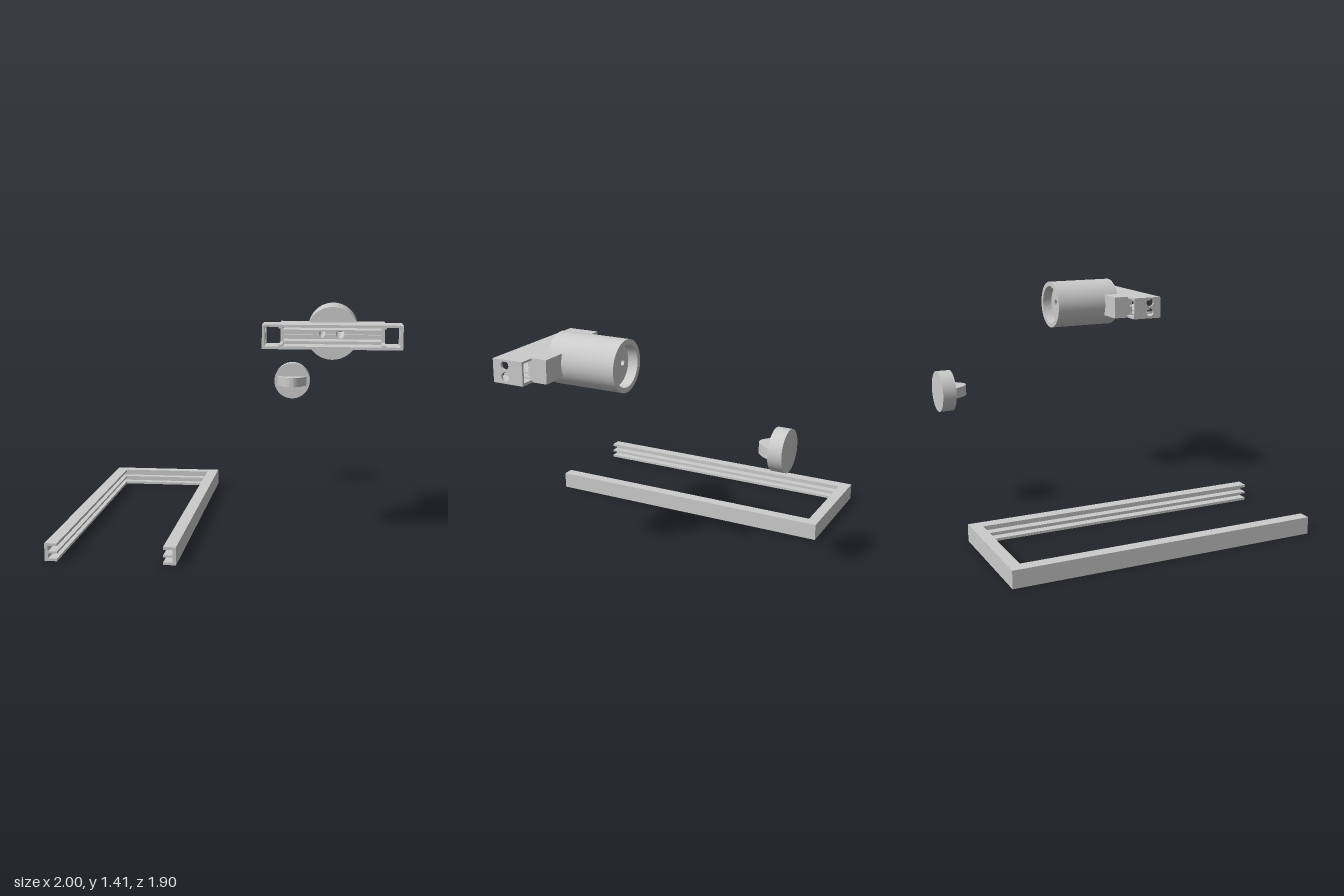
import * as THREE from 'three';
import { toCreasedNormals } from 'three/addons/utils/BufferGeometryUtils.js';

const material = new THREE.MeshStandardMaterial({ color: 0xcccccc });

function add(group, name, geometry) {
  const mesh = new THREE.Mesh(geometry, material);
  mesh.name = name;
  group.add(mesh);
  return mesh;
}

// Box given by its limits on each axis
function box(group, name, [x0, x1], [y0, y1], [z0, z1]) {
  const geometry = new THREE.BoxGeometry(x1 - x0, y1 - y0, z1 - z0);
  geometry.translate((x0 + x1) / 2, (y0 + y1) / 2, (z0 + z1) / 2);
  return add(group, name, geometry);
}

const polygon = (points) => new THREE.Shape(points.map(([x, y]) => new THREE.Vector2(x, y)));
const rectangle = (x0, x1, y0, y1) => polygon([[x0, y0], [x1, y0], [x1, y1], [x0, y1]]);
const circle = (x, y, r) => new THREE.Shape().absarc(x, y, r, 0, Math.PI * 2, false);

function extrude(shape, depth, holes = []) {
  shape.holes.push(...holes);
  const geometry = new THREE.ExtrudeGeometry(shape, { depth, bevelEnabled: false, curveSegments: 32 });
  return toCreasedNormals(geometry, 0.6);
}

// U-shaped rail: stacked layers give three fins with two grooves between
function makeRail() {
  const rail = new THREE.Group();
  rail.name = 'grooved rail';
  const layer = (name, w, back, y0, y1) => {
    const shape = polygon([
      [-1, -0.95], [-1 + w, -0.95], [-1 + w, 0.95 - back], [-0.245 - w, 0.95 - back],
      [-0.245 - w, -0.95], [-0.245, -0.95], [-0.245, 0.95], [-1, 0.95],
    ]);
    const geometry = extrude(shape, y1 - y0);
    geometry.rotateX(-Math.PI / 2).translate(0, y0, 0);
    add(rail, name, geometry);
  };
  layer('bottom fin', 0.073, 0.07, 0, 0.016);
  layer('lower groove wall', 0.02, 0.02, 0.016, 0.045);
  layer('middle fin', 0.073, 0.07, 0.045, 0.057);
  layer('upper groove wall', 0.02, 0.02, 0.057, 0.089);
  layer('top fin', 0.073, 0.07, 0.089, 0.105);
  return rail;
}

// Wide slotted head with a round socket behind it
function makeConnector() {
  const connector = new THREE.Group();
  connector.name = 'connector';
  const cx = 0.6, cy = 1.255;
  const pinHoles = () => [circle(0.54, cy, 0.019), circle(0.645, cy, 0.025)];
  const slab = (name, shape, z0, z1, holes) => {
    add(connector, name, extrude(shape, z1 - z0, holes)).position.z = z0;
  };

  // Socket barrel with a recessed floor
  slab('socket rim', circle(cx, cy, 0.155), -0.062, 0, [circle(cx, cy, 0.125)]);
  slab('socket barrel', circle(cx, cy, 0.155), 0, 0.375, pinHoles());

  // Stepped shoulder behind the head
  slab('shoulder', rectangle(0.295, 0.905, 1.18, 1.32), 0.28, 0.39, pinHoles());

  // Open head
  box(connector, 'head top', [0.2, 1], [1.308, 1.32], [0.375, 0.572]);
  box(connector, 'head bottom', [0.2, 1], [1.18, 1.196], [0.375, 0.572]);
  for (const side of [-1, 1]) {
    const wall = extrude(rectangle(0.375, 0.572, 1.18, 1.32), 0.015,
      [circle(0.493, 1.287, 0.026), circle(0.493, 1.22, 0.026)]);
    wall.rotateY(-Math.PI / 2).translate(side > 0 ? 1 : 0.215, 0, 0);
    add(connector, 'end wall', wall);
    // Ledges that frame the end windows
    const x = cx + side * 0.293;
    for (const [y0, y1] of [[1.196, 1.206], [1.298, 1.308]]) {
      box(connector, 'window ledge', [x - 0.012, x + 0.012], [y0, y1], [0.39, 0.572]);
    }
  }

  // Central slit and the guide fins inside the head
  for (const [y0, y1] of [[1.196, 1.251], [1.259, 1.308]]) {
    const lower = y0 < 1.25;
    const shape = rectangle(0.32, 0.88, y0, y1);
    // Half-round notches keep the pin holes clear
    shape.curves.length = 0;
    const edge = lower ? y1 : y0, far = lower ? y0 : y1;
    shape.moveTo(0.32, far).lineTo(0.32, edge);
    for (const [x, r] of [[0.54, 0.019], [0.645, 0.025]]) {
      shape.absarc(x, edge, r, Math.PI, lower ? Math.PI * 2 : 0, !lower);
    }
    shape.lineTo(0.88, edge).lineTo(0.88, far);
    slab('slit plate', shape, 0.39, 0.42);
  }
  for (const y of [1.222, 1.287]) {
    box(connector, 'guide fin', [0.32, 0.88], [y - 0.004, y + 0.004], [0.42, 0.555]);
  }
  return connector;
}

// Round cap with a domed finger grip
function makeCap() {
  const cap = new THREE.Group();
  cap.name = 'cap';
  const disc = new THREE.CylinderGeometry(0.128, 0.128, 0.085, 64);
  disc.rotateX(Math.PI / 2);
  add(cap, 'cap disc', disc).position.set(0.305, 0.797, -0.9075);

  const outline = new THREE.Shape();
  outline.moveTo(-0.105, 0);
  outline.bezierCurveTo(-0.075, -0.06, -0.035, -0.1, 0, -0.1);
  outline.bezierCurveTo(0.035, -0.1, 0.075, -0.06, 0.105, 0);
  const grip = extrude(outline, 0.066);
  grip.rotateX(-Math.PI / 2);
  add(cap, 'finger grip', grip).position.set(0.305, 0.764, -0.866);
  return cap;
}

export function createModel() {
  const model = new THREE.Group();
  model.name = 'rail, connector and cap';
  model.add(makeRail(), makeConnector(), makeCap());
  return model;
}
